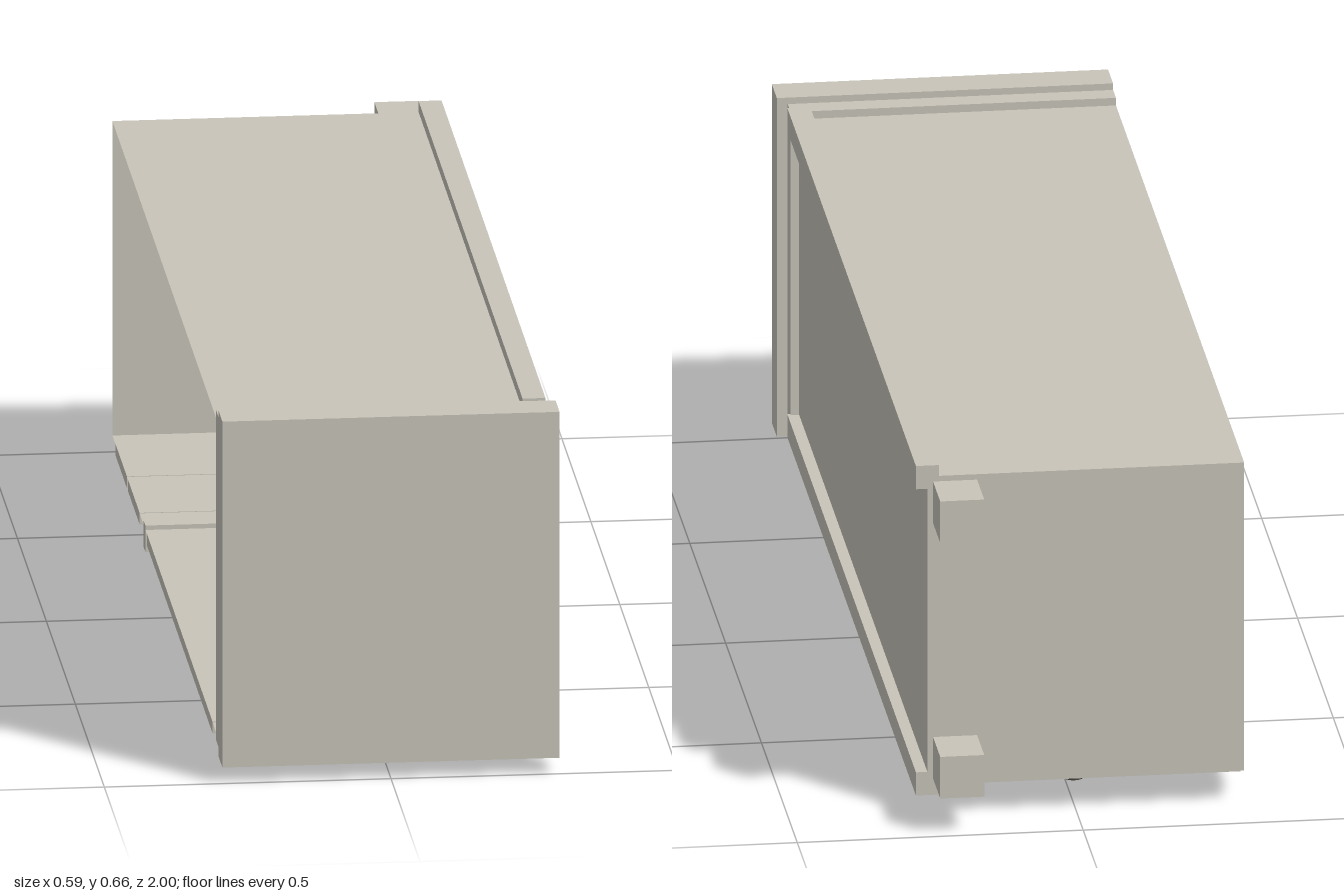
import * as THREE from 'three';

export function createModel() {
  const model = new THREE.Group();
  model.name = 'cabinet';

  const paint = new THREE.MeshStandardMaterial({ color: 0xc8c4b9, side: THREE.DoubleSide });
  paint.name = 'stone paint';
  const dark = new THREE.MeshStandardMaterial({ color: 0x47433d });
  dark.name = 'dark metal';

  // Box given by its minimum and maximum on each axis
  function box(name, [x0, x1], [y0, y1], [z0, z1]) {
    const geometry = new THREE.BoxGeometry(x1 - x0, y1 - y0, z1 - z0);
    geometry.translate((x0 + x1) / 2, (y0 + y1) / 2, (z0 + z1) / 2);
    const mesh = new THREE.Mesh(geometry, paint);
    mesh.name = name;
    model.add(mesh);
    return mesh;
  }

  const open = -0.294; // plane of the open side

  // Thin-walled carcass, open towards -x
  const carcass = box('carcass', [open, 0.26], [0.06, 0.63], [-0.9, 0.89]);
  const faces = Array.from(carcass.geometry.index.array);
  faces.splice(6, 6);
  carcass.geometry.setIndex(faces);
  carcass.geometry.clearGroups();

  // Worktop and the collar below it
  box('worktop', [open, 0.294], [0.029, 0.656], [0.93, 1]);
  box('collar', [open, 0.275], [0.046, 0.644], [0.89, 0.93]);

  // Corner posts and feet, mirrored about the middle height
  const mid = 0.345;
  for (const s of [-1, 1]) {
    const span = (a, b) => [mid + s * a, mid + s * b].sort((p, q) => p - q);
    box('cornerPost', [0.24, 0.28], span(0.262, 0.305), [-0.9, 0.895]);
    box('foot', [0.173, 0.25], span(0.198, 0.275), [-1, -0.9]);
  }

  // Door with raised panel, dividing rail and drawer fronts
  box('door', [open, 0.22], [0.04, 0.061], [-0.3, 0.83]);
  box('doorPanel', [-0.22, 0.16], [0.028, 0.041], [-0.21, 0.73]);
  box('dividingRail', [open, 0.273], [0.02, 0.068], [-0.365, -0.33]);
  box('drawerFront', [open, 0.212], [0.04, 0.061], [-0.63, -0.43]);
  box('drawerFront', [open, 0.212], [0.04, 0.061], [-0.85, -0.65]);

  // Knobs: wide head on a short neck
  for (const [x, z] of [[-0.24, 0.2], [-0.016, -0.515], [-0.016, -0.735]]) {
    const knob = new THREE.Group();
    knob.name = 'knob';
    const head = new THREE.Mesh(new THREE.CylinderGeometry(0.0175, 0.0175, 0.029, 24), dark);
    head.name = 'knobHead';
    head.position.y = 0.0145;
    const neck = new THREE.Mesh(new THREE.CylinderGeometry(0.012, 0.012, 0.014, 24), dark);
    neck.name = 'knobNeck';
    neck.position.y = 0.035;
    knob.add(head, neck);
    knob.position.set(x, 0, z);
    model.add(knob);
  }

  return model;
}
